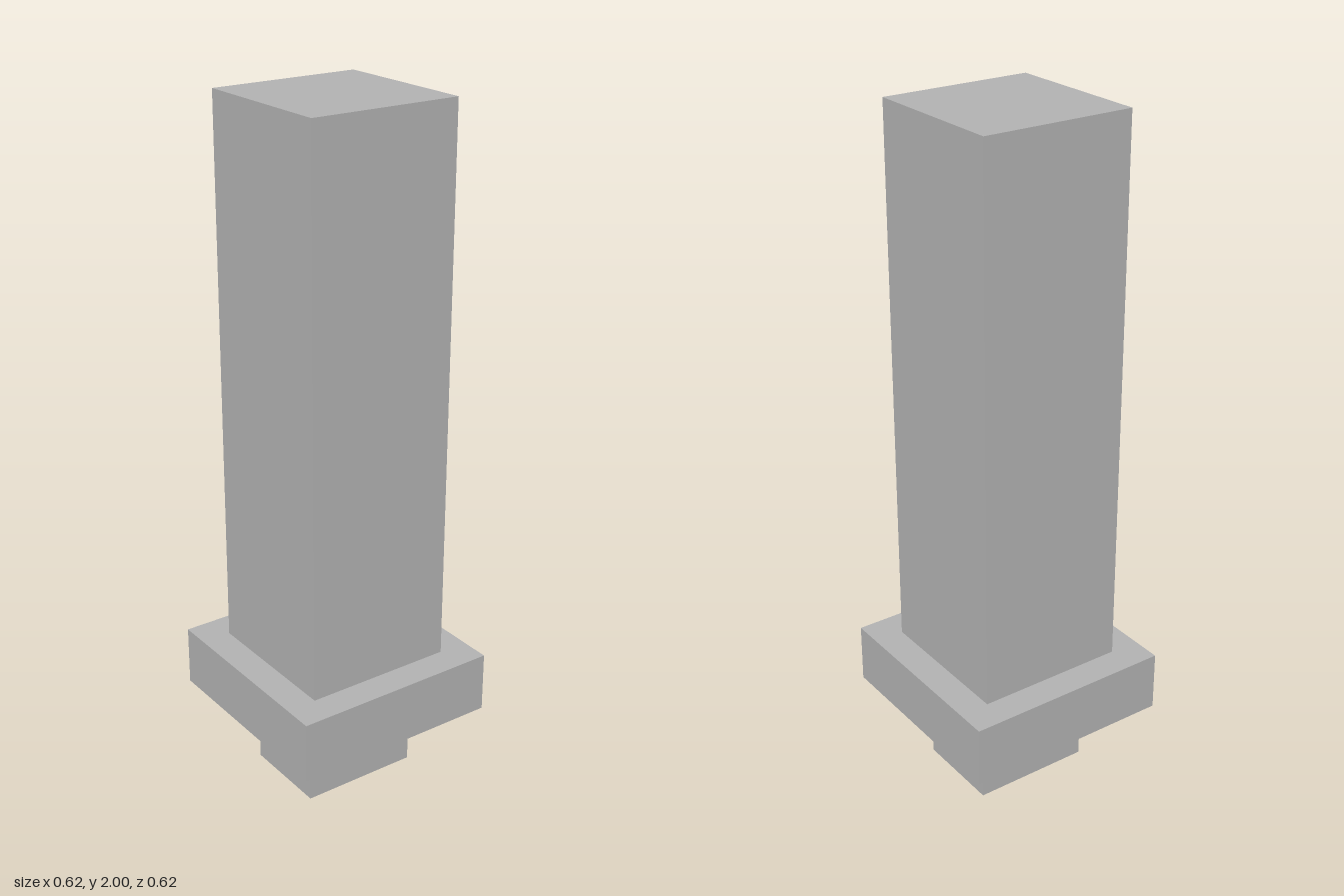
import * as THREE from 'three';

const U = 2 / 45; // module the proportions are built on

export function createModel() {
  const group = new THREE.Group();
  const grey = new THREE.MeshStandardMaterial({ color: 0xb2b2b2 });
  grey.name = 'grey';

  // name, width, height, depth, in modules, stacked from the ground up
  const parts = [
    ['tenon', 8, 5, 6],
    ['collar', 14, 4, 14],
    ['shaft', 10, 36, 10],
  ];

  let y = 0;
  for (const [name, w, h, d] of parts) {
    const mesh = new THREE.Mesh(new THREE.BoxGeometry(w * U, h * U, d * U), grey);
    mesh.name = name;
    mesh.position.y = (y + h / 2) * U;
    y += h;
    group.add(mesh);
  }
  return group;
}
